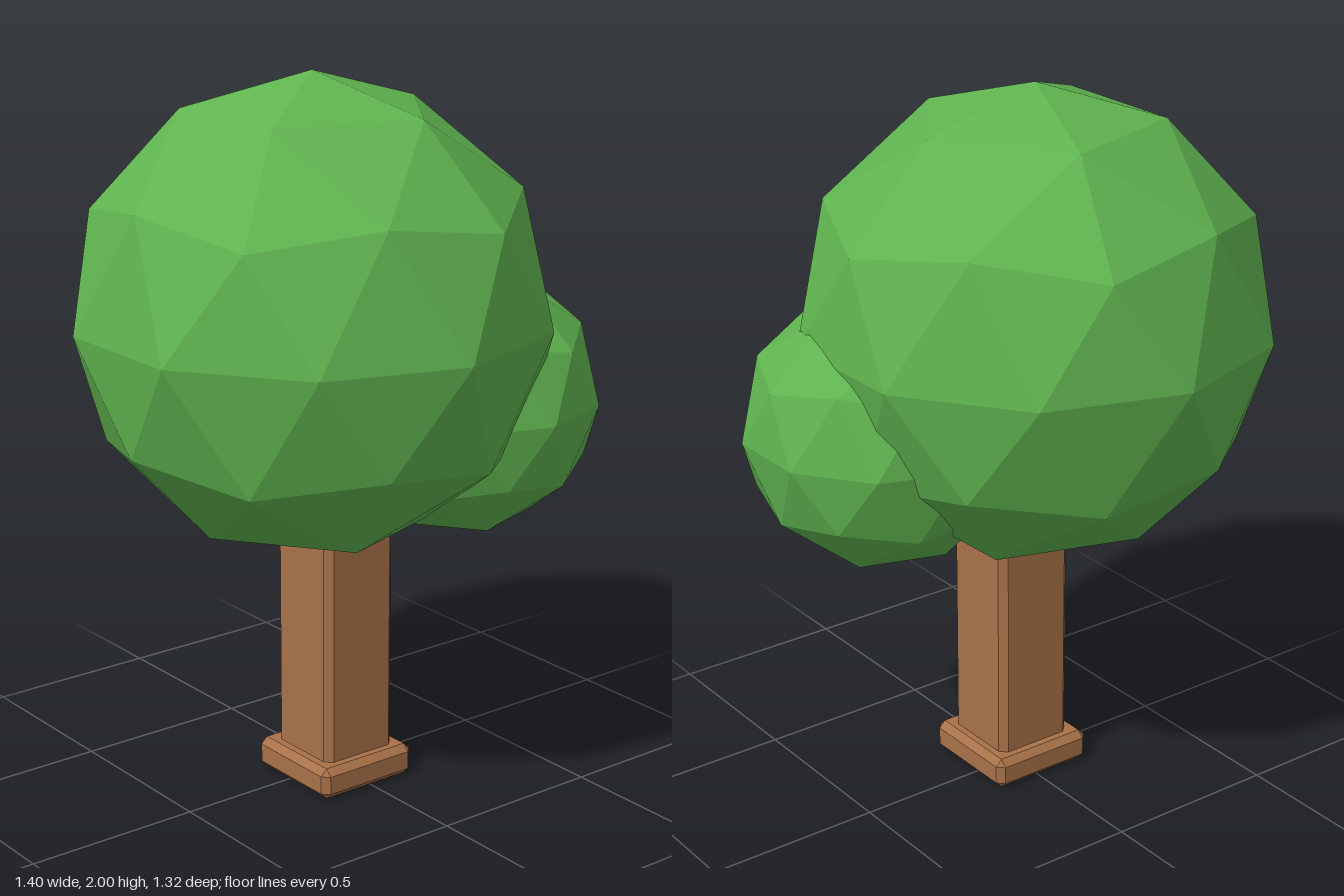
import * as THREE from 'three';
import { ConvexGeometry } from 'three/addons/geometries/ConvexGeometry.js';

// Faceted ball with one corner pointing straight up and an upper-ring corner toward +x
function facetedBall(radius) {
  const geometry = new THREE.IcosahedronGeometry(radius, 1);
  geometry.rotateX(-Math.atan((1 + Math.sqrt(5)) / 2));
  geometry.rotateY(Math.PI / 2);
  geometry.computeVertexNormals(); // unshared corners give flat facets
  return geometry;
}

// Box with every edge cut at 45 degrees
function chamferedBox(w, h, d, c) {
  const half = [w / 2, h / 2, d / 2];
  const points = [];
  for (const sx of [-1, 1]) for (const sy of [-1, 1]) for (const sz of [-1, 1]) {
    for (let axis = 0; axis < 3; axis++) {
      const p = half.map((v, i) => (i === axis ? v : v - c));
      points.push(new THREE.Vector3(sx * p[0], sy * p[1], sz * p[2]));
    }
  }
  return new ConvexGeometry(points);
}

export function createModel() {
  const tree = new THREE.Group();
  tree.name = 'tree';

  const leafGreen = new THREE.MeshStandardMaterial({ color: 0x60b450 });
  leafGreen.name = 'leafGreen';
  const barkBrown = new THREE.MeshStandardMaterial({ color: 0xa87148 });
  barkBrown.name = 'barkBrown';

  const add = (name, geometry, material, x, y, z) => {
    const mesh = new THREE.Mesh(geometry, material);
    mesh.name = name;
    mesh.position.set(x, y, z);
    tree.add(mesh);
  };

  // Trunk on its square foot
  add('trunkFoot', chamferedBox(0.315, 0.09, 0.315, 0.019), barkBrown, -0.015, 0.045, 0.027);
  add('trunk', chamferedBox(0.236, 0.9, 0.236, 0.02), barkBrown, -0.014, 0.5, 0.027);

  // Main crown and the smaller clump at its side
  add('mainCrown', facetedBall(0.66), leafGreen, -0.072, 1.34, 0);
  add('sideClump', facetedBall(0.39), leafGreen, 0.326, 1.08, 0.15);

  return tree;
}
